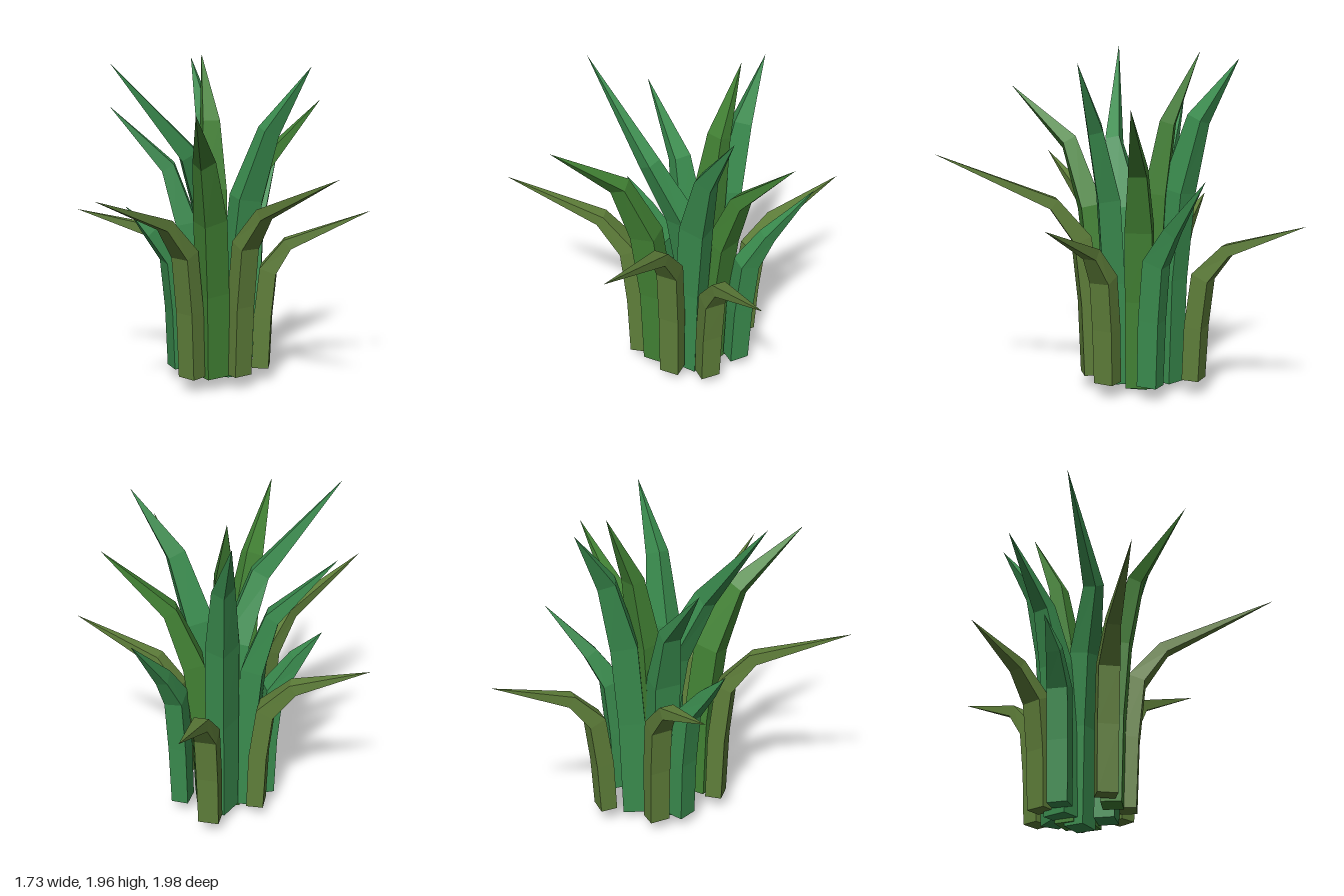
import * as THREE from 'three';

const OLIVE = 0x5f7f3a, GREEN = 0x428234, TEAL = 0x3a8c4e;
const UP = new THREE.Vector3(0, 1, 0);
const CROWN = new THREE.Vector3(0.19, 0, -0.18);

// Section size, and where the two lower joints sit between root and bend:
// [share of the sideways travel, share of the height]
const OUTER = { w: 0.12, d: 0.1, joints: [[0.07, 0.47], [0.26, 0.81]] };
const INNER = { w: 0.15, d: 0.12, joints: [[0.08, 0.42], [0.34, 0.74]] };

// Root, two rising joints, bend and tip; roots further from the crown sit higher
function leafPath(kind, [rx, rz], bendAt, tipAt) {
  const root = new THREE.Vector3(rx, 0, rz);
  root.y = Math.min(0.09, 0.3 * root.distanceTo(CROWN));
  const bend = new THREE.Vector3(...bendAt);
  const joints = kind.joints.map(([side, rise]) => {
    const joint = root.clone().lerp(bend, side);
    joint.y = bend.y * rise;
    return joint;
  });
  return [root, ...joints, bend, new THREE.Vector3(...tipAt)];
}

// Four-sided section swept along the path and drawn to a point
function leafGeometry({ w, d }, pts, yaw) {
  const tip = pts[4];
  const rings = [1, 1.04, 1.04, 0.7].map((s, i) => {
    const tangent = UP.clone();
    if (i > 0) {
      const before = pts[i].clone().sub(pts[i - 1]).normalize();
      const after = pts[i + 1].clone().sub(pts[i]).normalize();
      tangent.copy(before).add(after).normalize();
    }
    const tilt = new THREE.Quaternion().setFromUnitVectors(UP, tangent);
    return [[-1, 1], [1, 1], [1, -1], [-1, -1]].map(([a, b]) =>
      new THREE.Vector3(a * w * s / 2, 0, b * d * s / 2)
        .applyAxisAngle(UP, yaw).applyQuaternion(tilt).add(pts[i]));
  });

  const out = [];
  const tri = (...vs) => vs.forEach((v) => out.push(v.x, v.y, v.z));
  for (let k = 0; k < 4; k++) {
    const n = (k + 1) % 4;
    for (let i = 0; i < 3; i++) {
      const lo = rings[i], hi = rings[i + 1];
      tri(lo[k], lo[n], hi[n]);
      tri(lo[k], hi[n], hi[k]);
    }
    tri(rings[3][k], rings[3][n], tip);
  }
  // root cap
  const r = rings[0];
  tri(r[0], r[2], r[1]);
  tri(r[0], r[3], r[2]);

  const geo = new THREE.BufferGeometry();
  geo.setAttribute('position', new THREE.Float32BufferAttribute(out, 3));
  geo.computeVertexNormals();
  return geo;
}

export function createModel() {
  const plant = new THREE.Group();
  plant.name = 'spikyPlant';

  // A leaf's flat side faces the way it leans unless a yaw is given
  function addLeaf(name, color, kind, root, bend, tip, yaw = Math.atan2(tip[0] - root[0], tip[2] - root[1])) {
    const material = new THREE.MeshStandardMaterial({ color, flatShading: true });
    const mesh = new THREE.Mesh(leafGeometry(kind, leafPath(kind, root, bend, tip), yaw), material);
    mesh.name = name;
    plant.add(mesh);
  }

  // Low drooping leaves around the outside
  addLeaf('frontLeaf', OLIVE, OUTER, [0.16, 0.1], [0.18, 1.1, 0.32], [0.185, 1.4, 0.99]);
  addLeaf('rightLeaf', OLIVE, OUTER, [-0.11, 0], [-0.33, 1.05, 0.06], [-0.87, 1.27, 0.21]);
  addLeaf('backRightLeaf', OLIVE, OUTER, [0.07, -0.39], [-0.1, 0.9, -0.52], [-0.47, 1.03, -0.73]);
  addLeaf('backLeftLeaf', OLIVE, OUTER, [0.39, -0.46], [0.5, 0.86, -0.62], [0.76, 1.03, -0.99]);
  addLeaf('frontLeftLeaf', OLIVE, OUTER, [0.37, 0.04], [0.48, 0.86, 0.15], [0.86, 1.07, 0.46]);
  addLeaf('leftLeaf', TEAL, OUTER, [0.46, -0.19], [0.59, 0.99, -0.28], [0.81, 1.3, -0.41], 0.9);
  addLeaf('smallRightLeaf', TEAL, OUTER, [-0.03, -0.27], [-0.22, 0.94, -0.29], [-0.36, 1.1, -0.33]);

  // Leaning leaves of middle height
  addLeaf('middleFrontLeaf', GREEN, INNER, [0.03, 0.02], [-0.14, 1.41, 0.18], [-0.4, 1.73, 0.49], 0);
  addLeaf('middleLeftLeaf', GREEN, INNER, [0.3, -0.16], [0.48, 1.31, -0.11], [0.83, 1.69, 0]);
  addLeaf('middleBackLeaf', TEAL, INNER, [0.1, -0.28], [-0.03, 1.3, -0.38], [-0.33, 1.67, -0.56]);

  // Tall leaves of the crown
  addLeaf('tallCentreLeaf', GREEN, INNER, [0.2, -0.24], [0.24, 1.56, -0.33], [0.29, 1.96, -0.5]);
  addLeaf('tallBackLeaf', TEAL, INNER, [0.26, -0.33], [0.31, 1.58, -0.49], [0.35, 1.92, -0.71], 0.6);
  addLeaf('tallFrontLeaf', TEAL, INNER, [0.215, -0.03], [0.36, 1.54, 0.11], [0.57, 1.92, 0.24], -0.1);
  addLeaf('tallRightLeaf', TEAL, INNER, [0.19, -0.18], [-0.08, 1.42, -0.08], [-0.53, 1.96, -0.19], -0.4);

  return plant;
}
